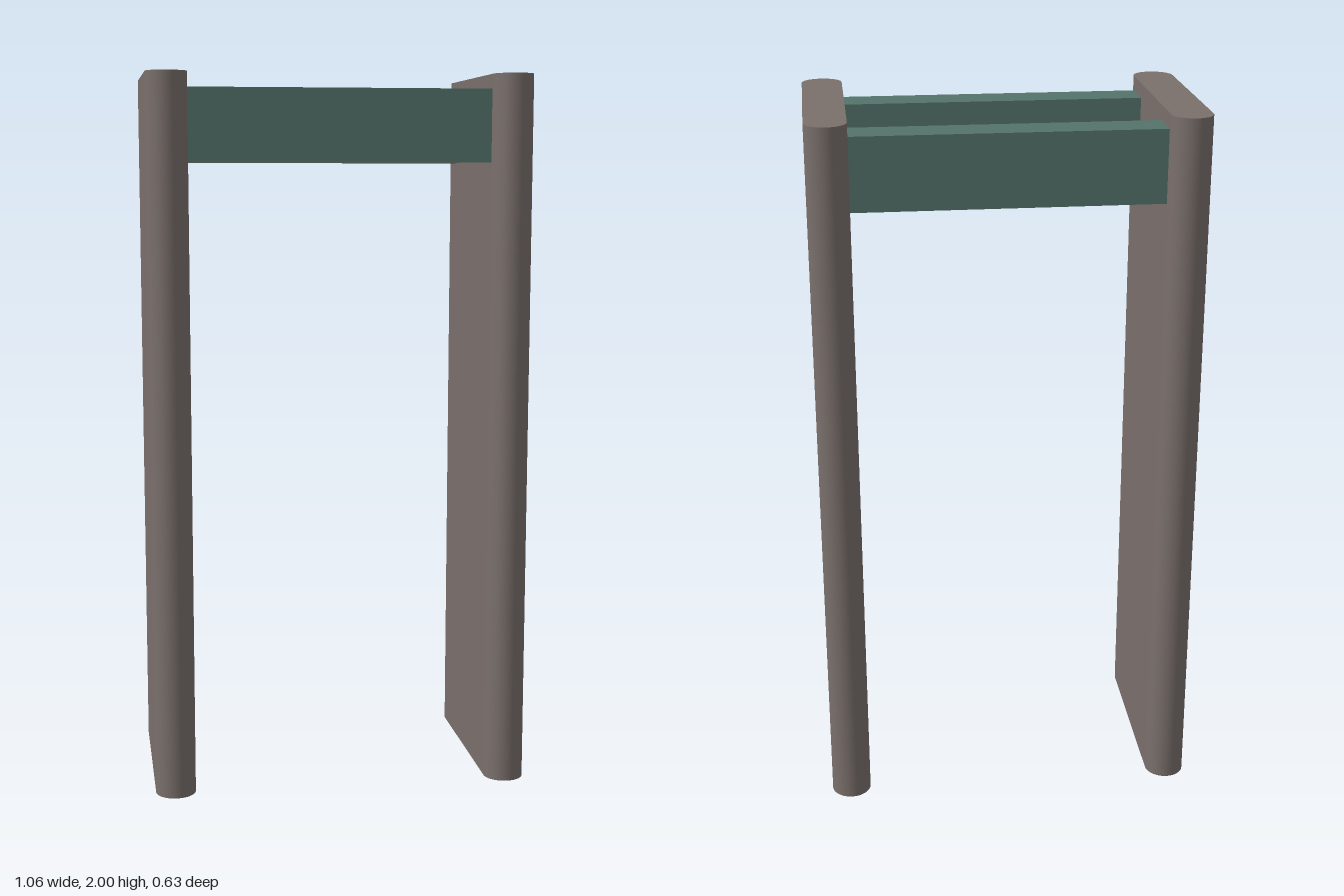
import * as THREE from 'three';

const HEIGHT = 2, HALF_DEPTH = 0.317, RADIUS = 0.056, SIDE_X = 0.474;
const RAIL_W = 0.84, RAIL_Z = 0.198, RAIL_D = 0.106;

export function createModel() {
  const group = new THREE.Group();
  const brown = new THREE.MeshStandardMaterial({ color: 0x7a706c });
  brown.name = 'warm grey';
  const green = new THREE.MeshStandardMaterial({ color: 0x54736b });
  green.name = 'muted green';

  const add = (name, geometry, material, x, y, z) => {
    const mesh = new THREE.Mesh(geometry, material);
    mesh.name = name;
    mesh.position.set(x, y, z);
    group.add(mesh);
    return mesh;
  };

  // upright panel: stadium footprint with rounded front and back edges
  const footprint = new THREE.Shape();
  const c = HALF_DEPTH - RADIUS;
  footprint.moveTo(RADIUS, -c);
  footprint.lineTo(RADIUS, c);
  footprint.absarc(0, c, RADIUS, 0, Math.PI, false);
  footprint.lineTo(-RADIUS, -c);
  footprint.absarc(0, -c, RADIUS, Math.PI, Math.PI * 2, false);
  const panel = new THREE.ExtrudeGeometry(footprint, { depth: HEIGHT, bevelEnabled: false, curveSegments: 20 });
  panel.rotateX(-Math.PI / 2);

  // smooth normals around the footprint, flat caps
  const pos = panel.attributes.position, nor = panel.attributes.normal;
  for (let i = 0; i < pos.count; i++) {
    if (Math.abs(nor.getY(i)) > 0.5) continue;
    const z = pos.getZ(i);
    const dz = z - THREE.MathUtils.clamp(z, -c, c);
    const n = new THREE.Vector3(pos.getX(i), 0, dz).normalize();
    nor.setXYZ(i, n.x, 0, n.z);
  }
  add('leftPanel', panel, brown, SIDE_X, 0, 0);
  add('rightPanel', panel, brown, -SIDE_X, 0, 0);

  // cross rails, each with a strip on the lower part of its inner face
  const rail = new THREE.BoxGeometry(RAIL_W, 0.2, RAIL_D);
  const strip = new THREE.BoxGeometry(RAIL_W, 0.13, 0.003);
  for (const [name, s] of [['front', 1], ['back', -1]]) {
    add(name + 'Rail', rail, green, 0, 1.86, s * RAIL_Z);
    add(name + 'RailInnerStrip', strip, brown, 0, 1.825, s * (RAIL_Z - RAIL_D / 2 - 0.0005));
  }
  return group;
}
